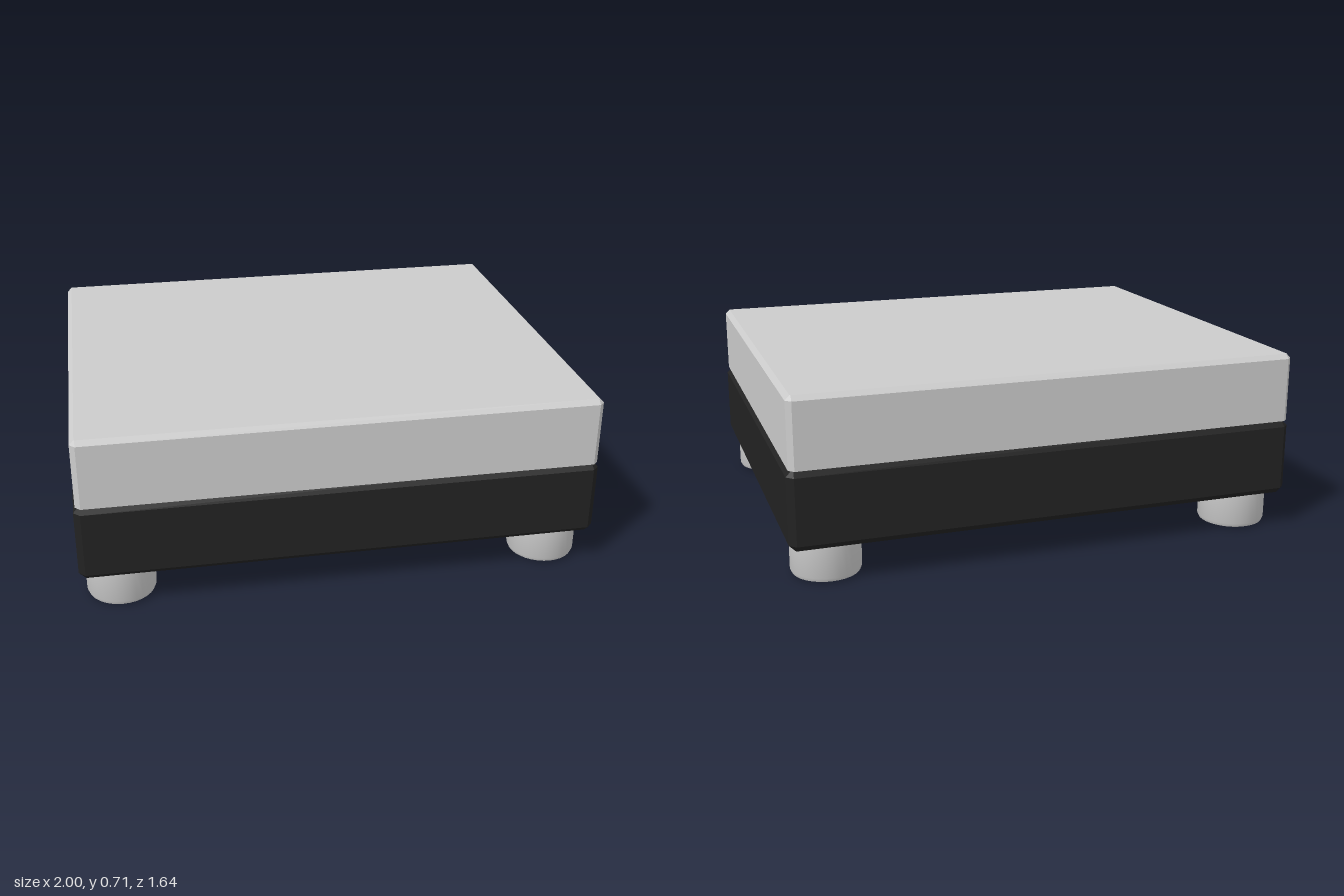
import * as THREE from 'three';
import { toCreasedNormals } from 'three/addons/utils/BufferGeometryUtils.js';

// Corner-cut rectangle, counter-clockwise seen from above
function ring(w, d, cut, y) {
  const a = w - cut, b = d - cut;
  return [[w, b], [w, -b], [a, -d], [-a, -d], [-w, -b], [-w, b], [-a, d], [a, d]]
    .map(([x, z]) => new THREE.Vector3(x, y, z));
}

// Box with cut corners, stacked from layers of [height, inset]
function chamferedBox(w, d, cut, layers) {
  const rings = layers.map(([y, inset]) => ring(w - inset, d - inset, Math.max(cut - inset, 0.003), y));
  const points = [];
  const n = 8;
  for (let k = 0; k < rings.length - 1; k++) {
    const lo = rings[k], hi = rings[k + 1];
    for (let i = 0; i < n; i++) {
      const j = (i + 1) % n;
      points.push(lo[i], lo[j], hi[j], lo[i], hi[j], hi[i]);
    }
  }
  const bottom = rings[0], top = rings[rings.length - 1];
  for (let i = 1; i < n - 1; i++) {
    points.push(top[0], top[i], top[i + 1], bottom[0], bottom[i + 1], bottom[i]);
  }
  const geometry = new THREE.BufferGeometry().setFromPoints(points);
  geometry.computeVertexNormals();
  return geometry;
}

export function createModel() {
  const model = new THREE.Group();
  const grey = new THREE.MeshStandardMaterial({ color: 0xcccccc });
  const black = new THREE.MeshStandardMaterial({ color: 0x222222 });

  const add = (name, geometry, material) => {
    const mesh = new THREE.Mesh(geometry, material);
    mesh.name = name;
    model.add(mesh);
    return mesh;
  };

  // Dark base, chamfered on every edge
  add('base', chamferedBox(1, 0.82, 0.025, [[0.14, 0.025], [0.165, 0], [0.42, 0], [0.445, 0.025]]), black);

  // Pale upper slab, square along its lower edge
  add('topSlab', chamferedBox(0.992, 0.82, 0.02, [[0.445, 0], [0.697, 0], [0.715, 0.018]]), grey);

  // Four round feet with a softened lower rim
  const r = 0.133;
  const profile = [[0, 0], [r - 0.02, 0], [r - 0.006, 0.006], [r, 0.02], [r, 0.145], [0, 0.145]]
    .map(([x, y]) => new THREE.Vector2(x, y));
  const foot = toCreasedNormals(new THREE.LatheGeometry(profile, 32), 0.5);
  for (const [sx, side] of [[1, 'Left'], [-1, 'Right']]) {
    for (const [sz, end] of [[1, 'front'], [-1, 'back']]) {
      add(end + side + 'Foot', foot, grey).position.set(sx * 0.845, 0, sz * 0.663);
    }
  }
  return model;
}
